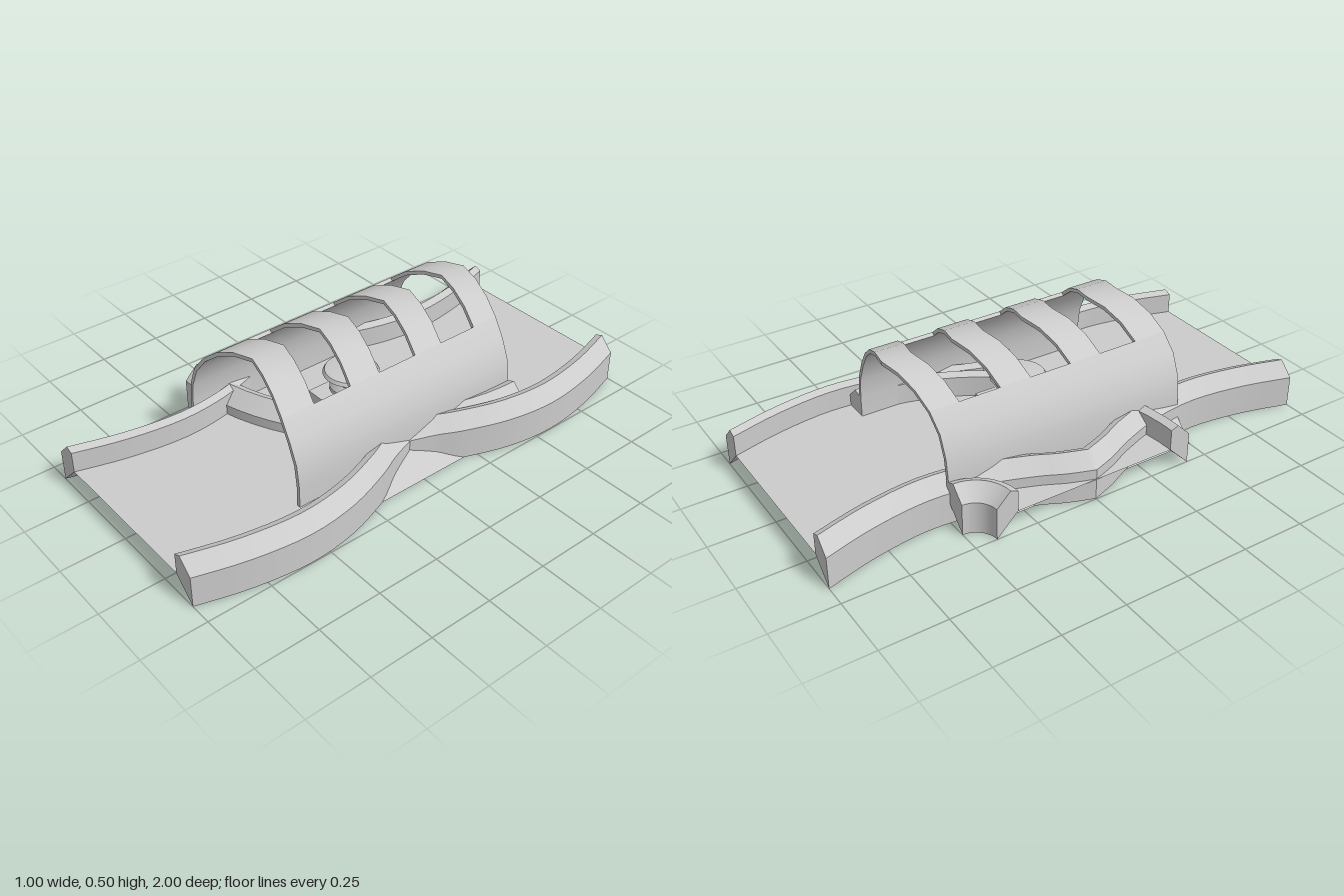
import * as THREE from 'three';
import { toCreasedNormals } from 'three/addons/utils/BufferGeometryUtils.js';

const material = new THREE.MeshStandardMaterial({ color: 0xcccccc, side: THREE.DoubleSide });

function mesh(name, geometry, crease = 0.5) {
  const m = new THREE.Mesh(toCreasedNormals(geometry, crease), material);
  m.name = name;
  return m;
}

// Sweep a profile of [u, v] points through stations; each station maps (u, v) to [x, y, z].
function sweep(profile, stations, closed = true) {
  const n = profile.length, pos = [], idx = [];
  for (const place of stations) for (const [u, v] of profile) pos.push(...place(u, v));
  for (let s = 0; s < stations.length - 1; s++) {
    for (let i = 0; i < (closed ? n : n - 1); i++) {
      const a = s * n + i, b = s * n + (i + 1) % n;
      idx.push(a, a + n, b, b, a + n, b + n);
    }
  }
  if (closed) {
    const last = (stations.length - 1) * n;
    for (let i = 1; i < n - 1; i++) idx.push(0, i, i + 1, last, last + i + 1, last + i);
  }
  const g = new THREE.BufferGeometry();
  g.setAttribute('position', new THREE.Float32BufferAttribute(pos, 3));
  g.setIndex(idx);
  return g;
}

const HALF = 0.33, EDGE = 0.415, FLOOR = 0.085;
const wallProfile = [[HALF, FLOOR], [EDGE, 0], [EDGE, 0.125], [0.36, 0.18], [HALF, 0.168]];

// A flat floor with a chamfered wall along both sides
function track(name, stations) {
  const g = new THREE.Group();
  g.name = name;
  g.add(mesh('floor', sweep([[-HALF, FLOOR], [HALF, FLOOR]], stations, false)));
  for (const side of [-1, 1]) {
    const profile = wallProfile.map(([u, v]) => [side * u, v]);
    if (side < 0) profile.reverse();
    g.add(mesh(side > 0 ? 'leftWall' : 'rightWall', sweep(profile, stations)));
  }
  return g;
}

// Arched cover with three windows, its crown leaning backwards
function tunnel() {
  const g = new THREE.Group();
  g.name = 'tunnel';
  const R = 0.33, r = 0.315, centre = 0.17;
  const lean = (x) => -0.06 * Math.max(0, 1 - Math.abs(x) / 0.27);
  const at = (deg) => (z, rad) => {
    const a = THREE.MathUtils.degToRad(deg), x = rad * Math.sin(a);
    return [x, centre + rad * Math.cos(a), z + lean(R * Math.sin(a))];
  };
  const strip = (z0, z1) => [[z0, r], [z0, R], [z1, R], [z1, r]];
  for (const side of [-1, 1]) {
    const stations = [45, 60, 75, 90].map((d) => at(side * d));
    stations.push((z, rad) => [side * rad, FLOOR, z]);
    if (side < 0) stations.reverse();
    g.add(mesh(side > 0 ? 'leftPanel' : 'rightPanel', sweep(strip(-0.5, 0.5), stations)));
    // Sloping skirt below the panel
    const skirt = [[side * HALF, FLOOR], [side * EDGE, 0]];
    g.add(mesh('skirt', sweep(skirt, [-0.5, 0.5].map((z) => (x, y) => [x, y, z]), false)));
  }
  const crown = [-45, -30, -15, 0, 15, 30, 45].map(at);
  for (const [z0, z1] of [[-0.5, -0.385], [-0.22, -0.095], [0.075, 0.205], [0.365, 0.5]]) {
    g.add(mesh('rib', sweep(strip(z0, z1), crown)));
  }
  return g;
}

// Mushroom-shaped bumper on a small block
function bumper() {
  const g = new THREE.Group();
  g.name = 'bumper';
  const profile = [[0.083, FLOOR], [0.083, 0.2], [0.066, 0.222], [0.066, 0.255],
    [0.108, 0.255], [0.1, 0.268], [0, 0.284]].map(([x, y]) => new THREE.Vector2(x, y));
  g.add(mesh('bumperBody', new THREE.LatheGeometry(profile, 24)));
  const base = mesh('bumperBase', new THREE.BoxGeometry(0.16, 0.1, 0.28));
  base.position.y = FLOOR + 0.05;
  g.add(base);
  return g;
}

export function createModel() {
  const model = new THREE.Group();
  model.name = 'trackPiece';

  // Weaving track along z, mirrored about the middle
  const half = new THREE.SplineCurve([[0, -0.083], [0.1, -0.047], [0.2, 0], [0.38, 0.06],
    [0.58, 0.083], [0.8, 0.055], [1, 0]].map(([z, c]) => new THREE.Vector2(z, c))).getPoints(24);
  const points = [
    ...half.slice(1).reverse().map((p) => [-p.x, p.y]),
    ...half.map((p) => [p.x, p.y]),
  ];
  model.add(track('weavingTrack', points.map(([z, c]) => (u, y) => [u + c, y, z])));

  // Quarter bend crossing it, leaving through the right side
  const bend = [];
  for (let i = 0; i <= 20; i++) {
    const a = (i / 20) * Math.PI / 2;
    bend.push((u, y) => [-0.5 + (0.5 + u) * Math.cos(a), y, -0.5 + (0.5 + u) * Math.sin(a)]);
  }
  model.add(track('bendTrack', bend));

  model.add(tunnel(), bumper());
  return model;
}
